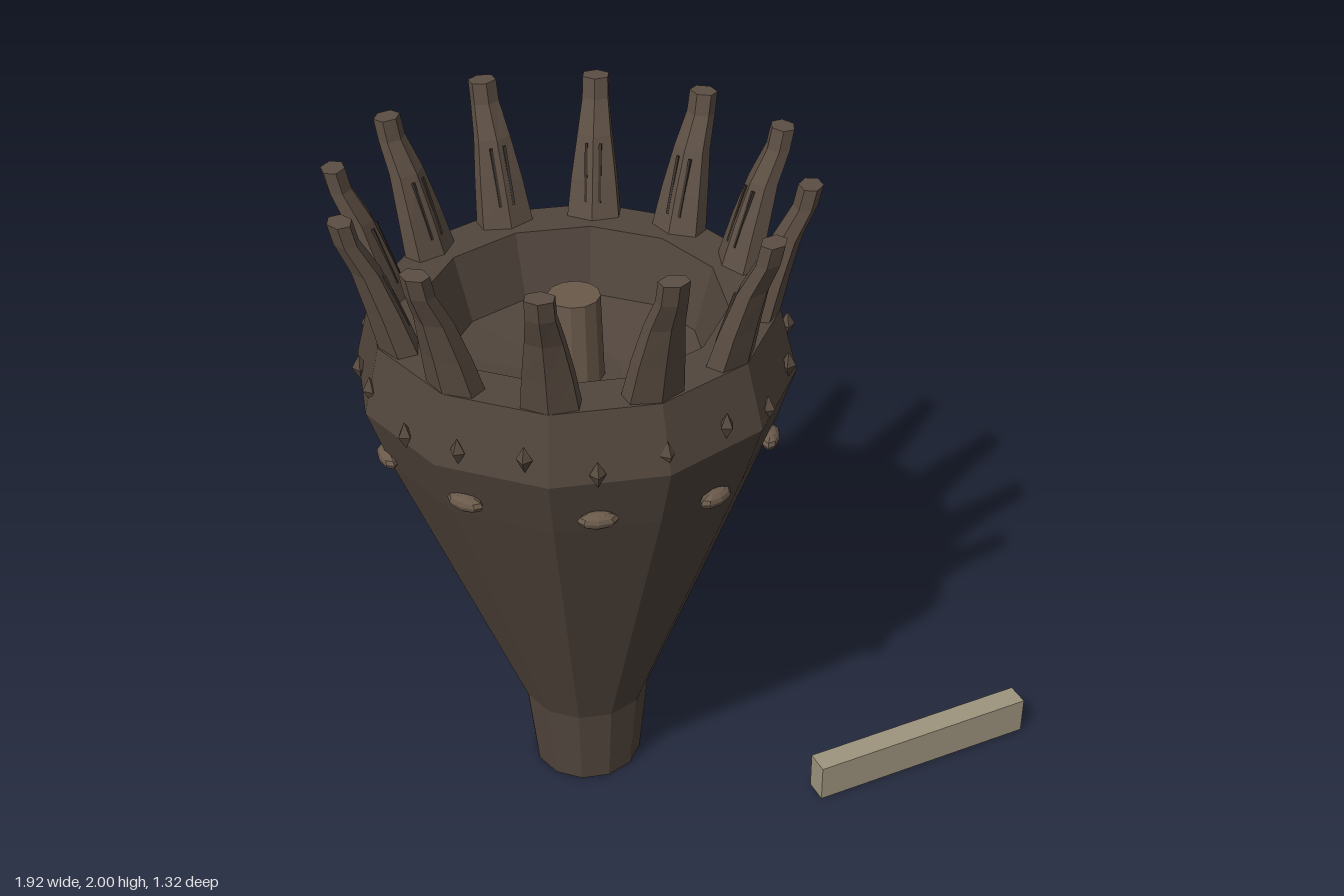
import * as THREE from 'three';

const flat = (color) => new THREE.MeshStandardMaterial({ color, flatShading: true });
const bodyMat = flat(0x52463d);
const spikeMat = flat(0x5c4e43);
const studMat = flat(0x584a3f);
const ovalMat = flat(0x6a5a4b);
const grooveMat = flat(0x3a312b);
const plaqueMat = flat(0x9f957f);

function add(parent, name, geometry, material, x = 0, y = 0, z = 0) {
  const mesh = new THREE.Mesh(geometry, material);
  mesh.name = name;
  mesh.position.set(x, y, z);
  parent.add(mesh);
  return mesh;
}

// Places a part built facing +z at an angle measured from +x towards +z.
function pivot(parent, name, angle) {
  const group = new THREE.Group();
  group.name = name;
  group.rotation.y = Math.PI / 2 - angle;
  parent.add(group);
  return group;
}

// Tapered six-sided spike that leans outwards; levels are [radius, y, halfWidth, halfDepth].
function spikeGeometry() {
  const levels = [
    [0.50, 1.59, 0.077, 0.055],
    [0.535, 1.72, 0.064, 0.047],
    [0.572, 1.84, 0.048, 0.039],
    [0.615, 1.93, 0.037, 0.033],
    [0.628, 1.99, 0.036, 0.033],
  ];
  const geometry = new THREE.CylinderGeometry(1, 1, 1, 6, levels.length - 1);
  const p = geometry.attributes.position;
  for (let i = 0; i < p.count; i++) {
    const [r, y, w, d] = levels[Math.round((p.getY(i) + 0.5) * (levels.length - 1))];
    p.setXYZ(i, p.getX(i) * w / 0.866, y, r + p.getZ(i) * d);
  }
  geometry.computeVertexNormals();
  return geometry;
}

export function createModel() {
  const model = new THREE.Group();
  const cup = new THREE.Group();
  cup.name = 'cup';
  cup.position.x = -0.3;
  model.add(cup);

  // Stem, flaring body, rim and hollow in one twelve-sided turned profile
  const profile = [
    [0, 0], [0.163, 0], [0.19, 0.27], [0.55, 1.235], [0.61, 1.42], [0.56, 1.61],
    [0.42, 1.61], [0.365, 1.42], [0.13, 1.38], [0, 1.38],
  ].map(([r, y]) => new THREE.Vector2(r, y));
  add(cup, 'body', new THREE.LatheGeometry(profile, 12), bodyMat);

  // Central post inside the hollow
  add(cup, 'centrePost', new THREE.CylinderGeometry(0.073, 0.08, 0.26, 12), ovalMat, 0, 1.5, 0);

  // Ring of spikes on the rim, each with two grooves on its inner side
  const spikeGeo = spikeGeometry();
  const grooveGeo = new THREE.BoxGeometry(0.008, 0.17, 0.01);
  for (let i = 0; i < 12; i++) {
    const holder = pivot(cup, 'rimSpike', (i * Math.PI) / 6);
    holder.position.y = 0.008 * Math.cos(i * 2.1) + 0.002;
    add(holder, 'spike', spikeGeo, spikeMat);
    for (const side of [-1, 1]) {
      add(holder, 'groove', grooveGeo, grooveMat, side * 0.02, 1.74, 0.505).rotation.x = 0.32;
    }
  }

  // Small diamond studs around the collar, in three staggered heights
  const studGeo = new THREE.OctahedronGeometry(1).scale(0.022, 0.04, 0.022);
  const studHeights = [1.447, 1.49, 1.473];
  for (let k = -9; k <= 10; k++) {
    const holder = pivot(cup, 'collarStud', (k * Math.PI) / 10);
    add(holder, 'stud', studGeo, studMat, 0, studHeights[Math.abs(k) % 3], 0.59);
  }

  // Flattened oval knobs in a wavy line below the collar
  const ovalGeo = new THREE.SphereGeometry(1, 8, 6).scale(0.055, 0.024, 0.025);
  for (let k = 0; k < 10; k++) {
    const angle = (k * Math.PI) / 5;
    const y = 1.265 - 0.038 * Math.sin(2 * angle);
    const holder = pivot(cup, 'ovalKnob', angle);
    add(holder, 'knob', ovalGeo, ovalMat, 0, y, 0.56 + (y - 1.265) * 0.3);
  }

  // Separate plain plaque beside the cup
  add(model, 'plaque', new THREE.BoxGeometry(0.72, 0.12, 0.07), plaqueMat, 0.6, 0.06, 0.505);
  return model;
}
